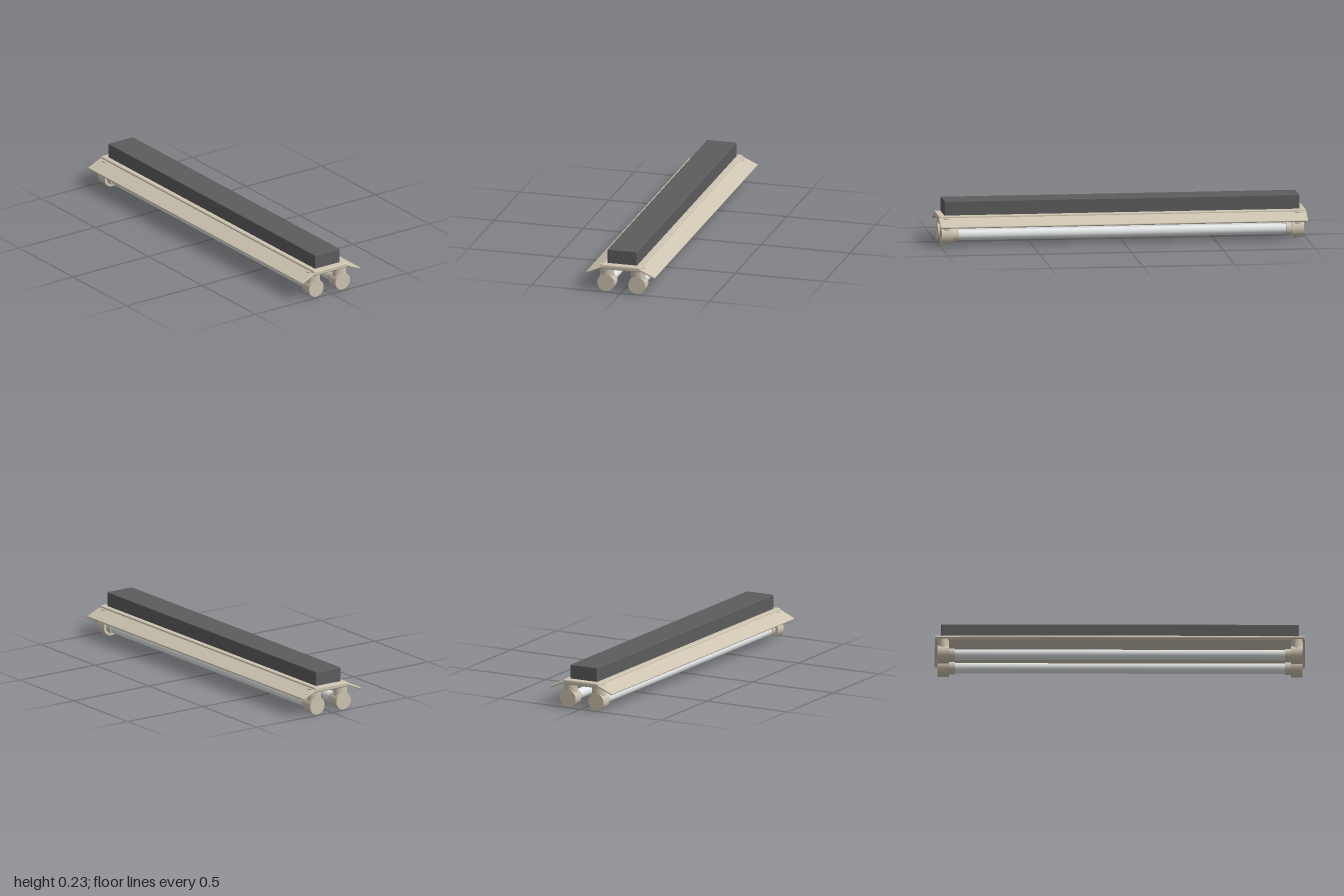
import * as THREE from 'three';
import { RoundedBoxGeometry } from 'three/addons/geometries/RoundedBoxGeometry.js';

export function createModel() {
  const model = new THREE.Group();
  model.name = 'tubeLightFixture';

  const material = (name, color) => {
    const m = new THREE.MeshStandardMaterial({ color });
    m.name = name;
    return m;
  };
  const beige = material('beigeEnamel', 0xcdc4b1);
  const dark = material('darkGrey', 0x5c5c5c);
  const glass = material('whiteGlass', 0xe4e7e7);

  const add = (name, geometry, mat, x, y, z) => {
    const mesh = new THREE.Mesh(geometry, mat);
    mesh.name = name;
    mesh.position.set(x, y, z);
    model.add(mesh);
    return mesh;
  };

  // Ballast box on the rounded base plate
  add('ballastBox', new RoundedBoxGeometry(0.166, 0.085, 1.932, 3, 0.006), dark, 0, 0.1925, 0);
  add('basePlate', new RoundedBoxGeometry(0.22, 0.028, 2, 4, 0.008), beige, 0, 0.143, 0);

  // Shared geometries for wings, tubes and lamp holders
  const wingGeo = new RoundedBoxGeometry(0.102, 0.011, 2, 3, 0.005);
  const tubeGeo = new THREE.CylinderGeometry(0.028, 0.028, 1.84, 32).rotateX(Math.PI / 2);
  const capGeo = new THREE.CylinderGeometry(0.048, 0.048, 0.063, 40).rotateX(Math.PI / 2);
  const collarGeo = new THREE.CylinderGeometry(0.033, 0.033, 0.04, 32).rotateX(Math.PI / 2);
  const postGeo = new THREE.CylinderGeometry(0.039, 0.039, 0.068, 32).scale(1, 1, 0.8);

  for (const side of [-1, 1]) {
    // Sloping reflector wing
    const wing = add('reflectorWing', wingGeo, beige, side * 0.146, 0.125, 0);
    wing.rotation.z = -side * 0.415;

    // Lamp tube with a holder at each end
    const x = side * 0.087;
    add('lampTube', tubeGeo, glass, x, 0.05, 0);
    for (const end of [-1, 1]) {
      add('holderCap', capGeo, beige, x, 0.05, end * 0.954);
      add('holderCollar', collarGeo, beige, x, 0.05, end * 0.91);
      add('holderPost', postGeo, beige, x, 0.112, end * 0.955);
    }
  }
  return model;
}
